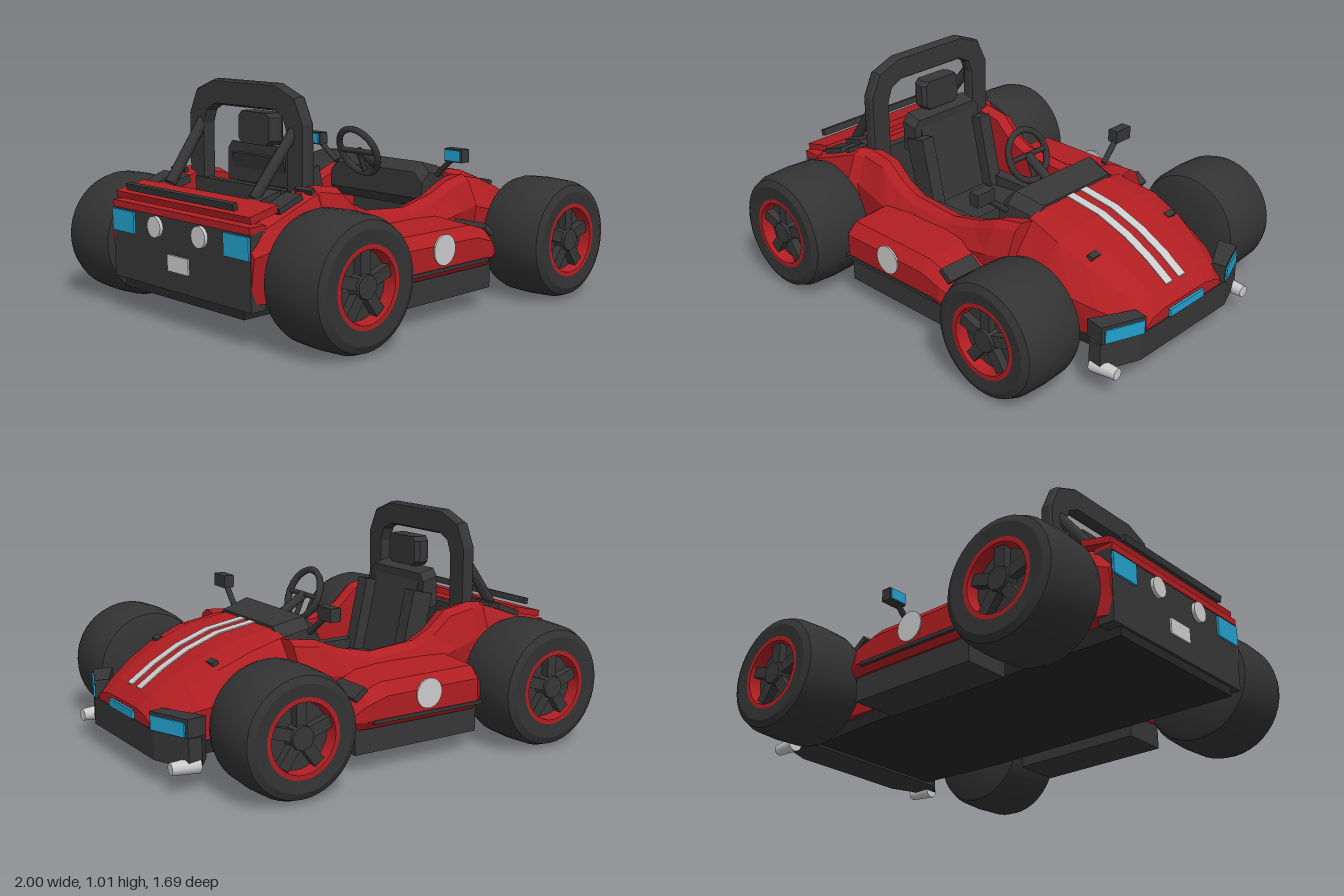
import * as THREE from 'three';
import { toCreasedNormals } from 'three/addons/utils/BufferGeometryUtils.js';

const mat = (name, color) => {
  const m = new THREE.MeshStandardMaterial({ color });
  m.name = name;
  return m;
};

export function createModel() {
  const car = new THREE.Group();
  car.name = 'buggy';
  const red = mat('red paint', 0xb01e22), dark = mat('dark trim', 0x363636), rubber = mat('tyre rubber', 0x333333);
  const blue = mat('blue glass', 0x22a0cc), white = mat('pale paint', 0xcccccc), under = mat('underside black', 0x262626);

  const add = (name, geo, m, parent = car) => {
    const mesh = new THREE.Mesh(geo, m);
    mesh.name = name;
    parent.add(mesh);
    return mesh;
  };
  // Box given by its centre and size, with a tilt about z
  const box = (name, m, [x, y, z], [w, h, d], tilt = 0, parent = car) => {
    const b = add(name, new THREE.BoxGeometry(w, h, d), m, parent);
    b.position.set(x, y, z);
    b.rotation.z = tilt;
    return b;
  };
  // Round bar between two points
  const bar = (name, m, a, b, r0, r1 = r0, sides = 8, parent = car) => {
    const p = new THREE.Vector3(...a), q = new THREE.Vector3(...b), d = q.clone().sub(p);
    const mesh = add(name, new THREE.CylinderGeometry(r1, r0, d.length(), sides), m, parent);
    mesh.position.copy(p).add(q).multiplyScalar(0.5);
    mesh.quaternion.setFromUnitVectors(new THREE.Vector3(0, 1, 0), d.normalize());
    return mesh;
  };
  // Faceted skin through convex sections [x, [[z, y], ...]] ordered by rising x
  const loft = (sections) => {
    const pos = [];
    const rings = sections.map(([x, pts]) => {
      const area = pts.reduce((s, [z, y], i) => {
        const [z2, y2] = pts[(i + 1) % pts.length];
        return s + y * z2 - y2 * z;
      }, 0);
      return (area > 0 ? pts : [pts[0], ...pts.slice(1).reverse()]).map(([z, y]) => [x, y, z]);
    });
    const tri = (a, b, c) => pos.push(...a, ...b, ...c);
    const n = rings[0].length, last = rings[rings.length - 1];
    for (let i = 0; i < rings.length - 1; i++)
      for (let j = 0; j < n; j++) {
        const k = (j + 1) % n, a = rings[i], b = rings[i + 1];
        tri(a[j], a[k], b[k]);
        tri(a[j], b[k], b[j]);
      }
    for (let j = 1; j < n - 1; j++) {
      tri(rings[0][0], rings[0][j + 1], rings[0][j]);
      tri(last[0], last[j], last[j + 1]);
    }
    const g = new THREE.BufferGeometry();
    g.setAttribute('position', new THREE.Float32BufferAttribute(pos, 3));
    g.computeVertexNormals();
    return g;
  };
  // Plan outline [z, x] raised from y0 to y1
  const slab = (outline, y0, y1) => {
    const g = new THREE.ExtrudeGeometry(new THREE.Shape(outline.map(([z, x]) => new THREE.Vector2(x, -z))),
      { depth: y1 - y0, bevelEnabled: false });
    return g.rotateX(-Math.PI / 2).translate(0, y0, 0);
  };
  // Mirror points [z, other] across z = 0
  const flip = (pts) => pts.map(([z, v]) => [-z, v]).reverse();
  const symmetric = (half) => [...half, ...flip(half)];

  // Chassis, floor and engine bay
  add('chassisPlate', slab(symmetric([[0.4, -0.97], [0.4, 0.35], [0.36, 0.86], [0.25, 0.95]]), 0.12, 0.2), under);
  box('cockpitFloor', dark, [-0.12, 0.215, 0], [0.98, 0.03, 0.68]);
  box('bulkhead', dark, [-0.61, 0.39, 0], [0.04, 0.38, 0.66]);
  box('footwellPanel', dark, [0.35, 0.36, 0], [0.03, 0.3, 0.6]);
  box('engineDeck', dark, [-0.77, 0.33, 0], [0.36, 0.28, 0.66]);
  box('engineScoop', red, [-0.78, 0.5, 0], [0.1, 0.06, 0.32], 0.3);

  // Hood: x, top y, top z, shoulder z/y, flank z/y, bottom z
  const hood = [[0.36, 0.57, 0.2, 0.3, 0.55, 0.4, 0.42, 0.4], [0.55, 0.54, 0.21, 0.33, 0.51, 0.435, 0.37, 0.41],
    [0.7, 0.485, 0.2, 0.32, 0.45, 0.42, 0.34, 0.4], [0.82, 0.42, 0.18, 0.29, 0.39, 0.38, 0.31, 0.37],
    [0.93, 0.345, 0.16, 0.25, 0.32, 0.31, 0.27, 0.3], [0.985, 0.29, 0.14, 0.22, 0.275, 0.26, 0.25, 0.25]];
  add('hood', loft(hood.map(([x, ty, tz, sz, sy, fz, fy, bz]) =>
    [x, symmetric([[bz, 0.18], [fz, fy], [sz, sy], [tz, ty]])])), red);
  for (const s of [1, -1]) {
    add('hoodStripe', loft(hood.slice(0, 5).map(([x, y]) =>
      [x, [[s * 0.022, y - 0.002], [s * 0.066, y - 0.002], [s * 0.066, y + 0.005], [s * 0.022, y + 0.005]]])), white);
    box('hoodVent', dark, [0.69, 0.472, s * 0.26], [0.03, 0.02, 0.055], -0.4);
  }

  // Front bumper and nose lamp
  add('frontBumper', slab(symmetric([[0.4, 0.8], [0.48, 0.86], [0.48, 0.92], [0.3, 0.99]]), 0.11, 0.235), dark);
  box('noseLight', blue, [0.994, 0.258, 0], [0.012, 0.036, 0.235]);

  // Body sides: x, top y, inner z, outer z, flank y
  const side = [[-0.98, 0.46, 0.33, 0.48, 0.38], [-0.92, 0.5, 0.33, 0.505, 0.4], [-0.62, 0.615, 0.33, 0.505, 0.46],
    [-0.58, 0.612, 0.33, 0.475, 0.46], [-0.45, 0.59, 0.33, 0.475, 0.42], [-0.36, 0.51, 0.33, 0.47, 0.38], [-0.27, 0.468, 0.33, 0.47, 0.36],
    [-0.03, 0.45, 0.33, 0.47, 0.36], [0.14, 0.49, 0.33, 0.475, 0.38], [0.26, 0.54, 0.32, 0.475, 0.4], [0.38, 0.555, 0.28, 0.46, 0.42]];
  // Side pod: x, top y, outer z
  const pod = [[-0.43, 0.37, 0.67], [-0.39, 0.395, 0.7], [0.1, 0.39, 0.7], [0.2, 0.36, 0.7], [0.26, 0.31, 0.67]];

  for (const s of [1, -1]) {
    add('bodySide', loft(side.map(([x, y, zi, zo, fy]) =>
      [x, [[zi, 0.19], [zo - 0.03, 0.19], [zo, fy], [zo - 0.05, y - 0.025], [zo - 0.09, y], [zi, y - 0.015]]
        .map(([z, v]) => [z * s, v])])), red);
    add('sidePod', loft(pod.map(([x, y, z]) =>
      [x, [[0.42, 0.2], [z - 0.03, 0.2], [z, 0.24], [z, y - 0.05], [z - 0.05, y], [0.42, y + 0.015]]
        .map(([w, v]) => [w * s, v])])), red);
    box('podSkirt', dark, [-0.09, 0.15, s * 0.55], [0.65, 0.12, 0.22]);
    box('podTrim', dark, [-0.12, 0.235, s * 0.697], [0.58, 0.016, 0.016]);
    box('podIntake', dark, [0.215, 0.355, s * 0.58], [0.07, 0.025, 0.18], -0.65);
    const disc = add('sideRoundel', new THREE.CylinderGeometry(0.067, 0.067, 0.008, 24), white);
    disc.rotation.x = Math.PI / 2;
    disc.position.set(-0.12, 0.32, s * 0.701);
    box('fenderGrille', dark, [-0.77, 0.565, s * 0.415], [0.13, 0.025, 0.09], 0.36);
    box('fenderSlot', dark, [-0.655, 0.602, s * 0.415], [0.022, 0.02, 0.1], 0.36);

    // Headlamps and fog lamps
    add('headlampHousing', slab([[0.46, 0.83], [0.475, 0.92], [0.28, 0.995], [0.27, 0.93]].map(([z, x]) => [z * s, x]), 0.235, 0.315), dark);
    const lamp = box('headlamp', blue, [0.961, 0.269, s * 0.375], [0.009, 0.062, 0.185]);
    lamp.rotation.y = -s * 0.367;
    bar('fogLamp', white, [0.865, 0.113, s * 0.458], [0.99, 0.113, s * 0.45], 0.036, 0.027, 10);

    // Suspension
    for (const x of [0.53, 0.66]) bar('suspensionArm', dark, [x, 0.28, s * 0.36], [0.595, 0.28, s * 0.55], 0.016);
    bar('rearAxle', dark, [-0.71, 0.285, s * 0.3], [-0.71, 0.285, s * 0.55], 0.04);

    // Mirrors
    bar('mirrorStalk', dark, [0.25, 0.56, s * 0.33], [0.235, 0.65, s * 0.44], 0.014);
    box('mirror', dark, [0.235, 0.665, s * 0.46], [0.05, 0.06, 0.1]);
    box('mirrorGlass', blue, [0.207, 0.665, s * 0.46], [0.008, 0.05, 0.088]);

    // Roll bar braces
    bar('rollBarBrace', dark, [-0.6, 0.84, s * 0.3], [-0.81, 0.57, s * 0.28], 0.025);
    box('braceFoot', dark, [-0.78, 0.565, s * 0.3], [0.14, 0.035, 0.07], 0.25);

    // Rear lamps
    box('tailLight', blue, [-0.986, 0.415, s * 0.38], [0.012, 0.095, 0.155]);
    const round = add('rearRoundLamp', new THREE.CylinderGeometry(0.046, 0.046, 0.03, 16), white);
    round.rotation.z = Math.PI / 2;
    round.position.set(-0.983, 0.42, s * 0.15);
  }

  // Rear end
  box('rearPanel', dark, [-0.945, 0.32, 0], [0.075, 0.32, 0.92]);
  box('rearLip', red, [-0.945, 0.485, 0], [0.085, 0.03, 0.92]);
  box('rearWing', red, [-0.9, 0.54, 0], [0.15, 0.03, 0.9], 0.22);
  box('wingBar', dark, [-0.972, 0.568, 0], [0.022, 0.03, 0.72], 0.2);
  box('rearPlate', white, [-0.986, 0.28, 0], [0.008, 0.07, 0.14]);

  // Roll bar
  const outer = [[0.37, 0.55], [0.37, 0.86], [0.32, 0.965], [0.2, 1.012]], inner = [[0.19, 0.915], [0.25, 0.885], [0.275, 0.82], [0.275, 0.55]];
  const arch = new THREE.Shape([...outer, ...flip(outer), ...flip(inner), ...inner].map((p) => new THREE.Vector2(...p)));
  const archGeo = new THREE.ExtrudeGeometry(arch, { depth: 0.036, bevelThickness: 0.012, bevelSize: 0.008, bevelSegments: 1 });
  add('rollBar', archGeo.rotateY(Math.PI / 2).translate(-0.613, 0, 0), dark);

  // Seat
  const seat = new THREE.Group();
  seat.name = 'seat';
  car.add(seat);
  box('seatCushion', dark, [-0.28, 0.27, 0], [0.36, 0.09, 0.36], 0.08, seat);
  box('seatBack', dark, [-0.46, 0.48, 0], [0.09, 0.46, 0.34], 0.22, seat);
  add('seatUpper', loft([[-0.54, 0.02], [-0.46, 0]].map(([x, dy]) =>
    [x, symmetric([[0.21, 0.55 + dy], [0.21, 0.69 + dy], [0.18, 0.725 + dy]])])), dark, seat);
  add('headrest', loft([[-0.57, 0.1], [-0.545, 0.115], [-0.51, 0.115], [-0.49, 0.1]].map(([x, z]) =>
    [x, symmetric([[z - 0.02, 0.745], [z, 0.765], [z, 0.865], [z - 0.02, 0.885]])])), dark, seat);
  for (const s of [1, -1]) {
    box('backBolster', dark, [-0.41, 0.47, s * 0.19], [0.11, 0.36, 0.07], 0.22, seat);
    box('seatBolster', dark, [-0.26, 0.3, s * 0.225], [0.33, 0.11, 0.06], 0, seat);
    bar('headrestPost', dark, [-0.515, 0.7, s * 0.05], [-0.53, 0.78, s * 0.05], 0.012, 0.012, 6, seat);
  }

  // Dashboard: x, top y, top z, bottom y
  add('dashboard', loft([[0.18, 0.57, 0.25, 0.45], [0.23, 0.615, 0.25, 0.4], [0.37, 0.58, 0.22, 0.4]].map(([x, y, z, b]) =>
    [x, symmetric([[z + 0.05, b], [z + 0.05, y - 0.045], [z, y]])])), dark);

  // Steering wheel, its top leaning back towards the seat
  bar('steeringColumn', dark, [0.07, 0.655, 0], [0.22, 0.56, 0], 0.022);
  const steering = new THREE.Group();
  steering.name = 'steeringWheel';
  steering.position.set(0.07, 0.655, 0);
  steering.rotation.set(-0.42, Math.PI / 2, 0, 'YXZ');
  car.add(steering);
  add('steeringRim', new THREE.TorusGeometry(0.118, 0.016, 6, 20), dark, steering);
  for (const a of [0, Math.PI, -Math.PI / 2])
    bar('steeringSpoke', dark, [0, 0, 0], [0.115 * Math.cos(a), 0.115 * Math.sin(a), 0], 0.013, 0.013, 6, steering);

  // Wheels, outer face along local +z
  const lathe = (pts) => toCreasedNormals(
    new THREE.LatheGeometry(pts.map((p) => new THREE.Vector2(...p)), 40).rotateX(Math.PI / 2), 0.5);
  const makeWheel = (x, r, s) => {
    const w = new THREE.Group();
    w.name = x > 0 ? 'frontWheel' : 'rearWheel';
    add('tyre', lathe([[0, -0.165], [r - 0.05, -0.165], [r - 0.02, -0.15], [r - 0.005, -0.11], [r, 0], [r - 0.005, 0.11],
      [r - 0.02, 0.15], [r - 0.05, 0.165], [0.168, 0.16], [0.16, 0.13]]), rubber, w);
    add('rimRing', lathe([[0.168, 0.13], [0.168, 0.16], [0.148, 0.16], [0.14, 0.09]]), red, w);
    const disc = add('wheelDisc', new THREE.CylinderGeometry(0.15, 0.15, 0.02, 30), dark, w);
    disc.rotation.x = Math.PI / 2;
    disc.position.z = 0.095;
    const hub = add('hub', new THREE.CylinderGeometry(0.05, 0.06, 0.05, 10), dark, w);
    hub.rotation.x = Math.PI / 2;
    hub.position.z = 0.13;
    for (let i = 0; i < 5; i++) {
      const a = Math.PI / 2 + i * Math.PI * 0.4;
      box('spoke', dark, [0.09 * Math.cos(a), 0.09 * Math.sin(a), 0.122], [0.105, 0.05, 0.04], a, w);
    }
    w.position.set(x, r + 0.005, s * 0.678);
    if (s < 0) w.rotation.y = Math.PI;
    car.add(w);
  };
  for (const s of [1, -1]) {
    makeWheel(-0.715, 0.28, s);
    makeWheel(0.6, 0.272, s);
  }
  return car;
}
